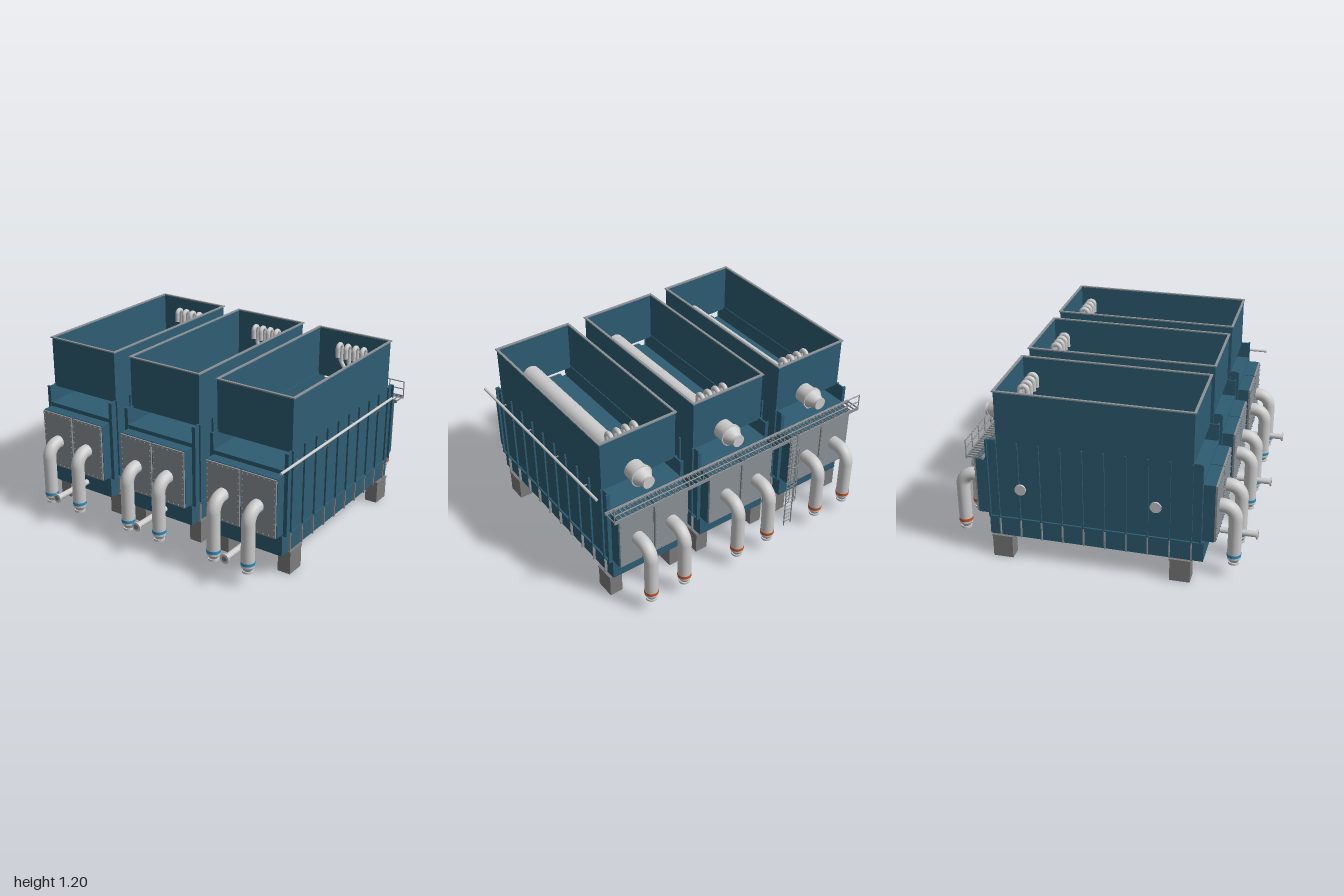
import * as THREE from 'three';
import { mergeGeometries } from 'three/addons/utils/BufferGeometryUtils.js';

const mat = (color) => new THREE.MeshStandardMaterial({ color, side: THREE.DoubleSide });
const BLUE = mat(0x2e5d73), GREY = mat(0xcccccc), PLATE = mat(0x8c9296), FOOT = mat(0x7c7c7c);
const COLD = mat(0x2f8fc0), HOT = mat(0xc8562b);

// Box given by its centre and size
const box = (x, y, z, w, h, d) => new THREE.BoxGeometry(w, h, d).translate(x, y, z);
// Cylinder between two points
function rod(a, b, r1, r2 = r1, sides = 24) {
  const p = new THREE.Vector3(...a), q = new THREE.Vector3(...b), dir = q.clone().sub(p);
  const g = new THREE.CylinderGeometry(r2, r1, dir.length(), sides);
  g.applyQuaternion(new THREE.Quaternion().setFromUnitVectors(new THREE.Vector3(0, 1, 0), dir.normalize()));
  return g.translate(...p.add(q).multiplyScalar(0.5).toArray());
}
// Adds a list of geometries to a group as one named mesh
function add(group, name, material, parts) {
  const mesh = new THREE.Mesh(mergeGeometries(parts.map((g) => (g.index ? g.toNonIndexed() : g))), material);
  mesh.name = name;
  group.add(mesh);
  return mesh;
}

// Water pipe with an elbow: leaves an end cover and turns down
function elbowGeometry(x, zFace, zPipe, s) {
  const r = 0.044, bend = 0.085, y = 0.508;
  const path = new THREE.CurvePath();
  const v = (yy, zz) => new THREE.Vector3(x, yy, zz);
  path.add(new THREE.LineCurve3(v(y, zFace), v(y, zPipe - s * bend)));
  const k = bend * 0.5523;
  path.add(new THREE.CubicBezierCurve3(v(y, zPipe - s * bend), v(y, zPipe - s * (bend - k)),
    v(y - bend + k, zPipe), v(y - bend, zPipe)));
  path.add(new THREE.LineCurve3(v(y - bend, zPipe), v(0.135, zPipe)));
  return [new THREE.TubeGeometry(path, 60, r, 24),
    rod([x, 0.108, zPipe], [x, 0.137, zPipe], 0.028, r),
    rod([x, 0.094, zPipe], [x, 0.108, zPipe], 0.036)];
}

// One end of a unit: two bolted covers with pipes; s = 1 front, -1 back
function buildEnd(unit, s) {
  const zBody = s > 0 ? 0.67 : -0.705, zFace = s > 0 ? 0.745 : -0.785, zPipe = s > 0 ? 0.857 : -0.94;
  const chests = [], plates = [], bolts = [], pipes = [], rings = [];
  for (const x of [-0.131, 0.131]) {
    chests.push(box(x, 0.512, (zBody + zFace) / 2, 0.256, 0.4, Math.abs(zFace - zBody)));
    plates.push(box(x, 0.512, zFace + s * 0.006, 0.25, 0.392, 0.012));
    const bolt = (bx, by) => bolts.push(rod([bx, by, zFace + s * 0.01], [bx, by, zFace + s * 0.018], 0.005, 0.005, 6));
    for (let i = 0; i < 10; i++) for (const e of [-1, 1]) bolt(x + e * 0.116, 0.332 + i * 0.04);
    for (let i = 1; i < 6; i++) for (const e of [-1, 1]) bolt(x - 0.116 + i * 0.0387, 0.512 + e * 0.185);
    const px = Math.sign(x) * 0.128;
    pipes.push(...elbowGeometry(px, zFace, zPipe, s));
    rings.push(rod([px, 0.15, zPipe], [px, 0.17, zPipe], 0.046));
  }
  const tag = s > 0 ? 'front' : 'back';
  add(unit, tag + 'Chests', BLUE, chests);
  add(unit, tag + 'Covers', PLATE, plates);
  add(unit, tag + 'Bolts', PLATE, bolts);
  add(unit, tag + 'ElbowPipes', GREY, pipes);
  add(unit, tag + 'PipeBands', s > 0 ? COLD : HOT, rings);
}

function buildUnit() {
  const unit = new THREE.Group();

  // Base and main body, with an open channel between deck and hood
  add(unit, 'base', BLUE, [box(0, 0.23, -0.015, 0.524, 0.14, 1.395)]);
  add(unit, 'body', BLUE, [box(0, 0.52, -0.018, 0.524, 0.44, 1.375)]);
  const walls = [], posts = [], ribs = [], lowRibs = [];
  for (const s of [-1, 1]) {
    walls.push(box(s * 0.267, 0.577, -0.018, 0.01, 0.555, 1.375));
    for (const z of [0.666, -0.702]) posts.push(box(s * 0.273, 0.577, z, 0.026, 0.555, 0.012));
    posts.push(box(s * 0.273, 0.303, -0.018, 0.022, 0.008, 1.38));
    for (let i = 0; i < 10; i++) {
      const z = 0.607 - i * 0.1385;
      ribs.push(box(s * 0.277, 0.577, z, 0.014, 0.55, 0.01));
      lowRibs.push(box(s * 0.27, 0.23, z, 0.018, 0.13, 0.007));
    }
  }
  for (const z of [0.666, -0.702]) posts.push(box(0, 0.303, z, 0.56, 0.01, 0.014), box(0, 0.735, z, 0.56, 0.012, 0.014));
  add(unit, 'sideWalls', BLUE, walls);
  add(unit, 'endFrames', BLUE, posts);
  add(unit, 'sideRibs', BLUE, ribs);
  add(unit, 'baseRibs', PLATE, lowRibs);

  // Open hood with a rim
  const hood = [], rim = [];
  for (const s of [-1, 1]) {
    hood.push(box(s * 0.27, 1.017, -0.0125, 0.006, 0.355, 1.245), box(0, 1.017, -0.0125 + s * 0.6195, 0.54, 0.355, 0.006));
    rim.push(box(s * 0.273, 1.191, -0.0125, 0.016, 0.008, 1.26), box(0, 1.191, -0.0125 + s * 0.622, 0.56, 0.008, 0.016));
  }
  add(unit, 'hood', BLUE, hood);
  add(unit, 'hoodRim', PLATE, rim);

  // Steam pipe lying in the hood, with its reducer at the back
  const px = 0.042, py = 0.905, at = (z) => [px, py, z];
  const steam = [rod(at(0.608), at(-0.725), 0.065, 0.065, 32), rod(at(-0.715), at(-0.73), 0.074, 0.074, 32),
    rod(at(-0.73), at(-0.795), 0.068, 0.035, 32), rod(at(-0.793), at(-0.805), 0.042)];
  for (const z of [-0.3, 0.04, 0.38, 0.55]) steam.push(rod(at(z - 0.003), at(z + 0.003), 0.067, 0.067, 32));
  add(unit, 'steamPipe', GREY, steam);

  // Four gooseneck vents rising from the steam pipe
  const vents = [];
  for (let i = 0; i < 4; i++) {
    const x = px - 0.09 + i * 0.06;
    vents.push(new THREE.TorusGeometry(0.025, 0.016, 12, 16, Math.PI).rotateY(Math.PI / 2).translate(x, 1.11, -0.52));
    vents.push(rod([x, 1.11, -0.545], [x, 1.01, -0.545], 0.016, 0.016, 16),
      rod([x, 1.01, -0.545], [px + (x - px) * 0.5, 0.94, -0.545], 0.014, 0.014, 16),
      rod([x, 1.11, -0.495], [x, 1.05, -0.495], 0.016, 0.016, 16));
  }
  add(unit, 'vents', GREY, vents);
  add(unit, 'backPlate', GREY, [box(0, 0.815, -0.69, 0.1, 0.026, 0.01)]);

  // Drain pipe at the front
  add(unit, 'drainPipe', GREY, [rod([px, 0.216, 0.67], [px, 0.216, 0.98], 0.02), rod([px, 0.216, 0.975], [px, 0.216, 0.985], 0.032)]);
  add(unit, 'drainBore', FOOT, [new THREE.CircleGeometry(0.017, 24).translate(px, 0.216, 0.986)]);

  // Round side hatches on the right wall
  const hatches = [];
  for (const z of [-0.485, 0.385]) {
    hatches.push(rod([-0.27, 0.53, z], [-0.29, 0.53, z], 0.028), rod([-0.288, 0.53, z], [-0.297, 0.53, z], 0.037));
  }
  add(unit, 'sideHatches', GREY, hatches);

  // Feet
  const feet = [];
  for (const x of [-0.233, 0.233]) for (const z of [0.54, -0.63]) {
    feet.push(box(x, 0.075, z, 0.09, 0.15, 0.132), box(x, 0.155, z, 0.098, 0.01, 0.14));
  }
  add(unit, 'feet', FOOT, feet);

  buildEnd(unit, 1);
  buildEnd(unit, -1);
  return unit;
}

export function createModel() {
  const model = new THREE.Group();
  const first = buildUnit();
  [-0.692, -0.008, 0.677].forEach((x, i) => {
    const unit = i ? first.clone() : first;
    unit.name = 'condenserUnit' + (i + 1);
    unit.position.x = x;
    model.add(unit);
  });

  // Grated walkway along the back, with a guard rail
  const grate = [], rail = [];
  for (const z of [-0.72, -0.825]) grate.push(box(-0.006, 0.732, z, 1.985, 0.022, 0.007));
  for (let i = 0; i <= 66; i++) grate.push(box(-0.996 + i * 0.03, 0.735, -0.7725, 0.004, 0.01, 0.105));
  add(model, 'walkway', PLATE, grate);
  for (const y of [0.79, 0.843]) rail.push(rod([-0.998, y, -0.825], [0.985, y, -0.825], 0.004, 0.004, 8));
  for (let i = 0; i <= 18; i++) {
    const x = -0.996 + i * 0.11;
    rail.push(rod([x, 0.73, -0.825], [x, 0.843, -0.825], 0.0035, 0.0035, 8));
  }
  add(model, 'guardRail', PLATE, rail);

  // Ladder with a safety cage
  const lx = -0.395, lz = -0.857, ladder = [], cage = [];
  for (const s of [-1, 1]) {
    ladder.push(rod([lx + s * 0.03, 0.02, lz], [lx + s * 0.03, 0.78, lz], 0.004, 0.004, 8));
    ladder.push(rod([lx + s * 0.03, 0.735, lz], [lx + s * 0.03, 0.735, -0.825], 0.004, 0.004, 8));
  }
  for (let y = 0.05; y < 0.77; y += 0.033) ladder.push(rod([lx - 0.03, y, lz], [lx + 0.03, y, lz], 0.003, 0.003, 6));
  add(model, 'ladder', PLATE, ladder);
  for (const y of [0.25, 0.4, 0.55, 0.7]) {
    cage.push(new THREE.TorusGeometry(0.039, 0.003, 6, 20, Math.PI).rotateX(-Math.PI / 2).translate(lx, y, lz));
  }
  for (const a of [0.25, 0.5, 0.75]) {
    const x = lx + 0.039 * Math.cos(a * Math.PI), z = lz - 0.039 * Math.sin(a * Math.PI);
    cage.push(rod([x, 0.25, z], [x, 0.7, z], 0.0025, 0.0025, 6));
  }
  add(model, 'ladderCage', PLATE, cage);

  // Long service pipe on brackets along the left wall
  add(model, 'servicePipe', GREY, [rod([0.986, 0.784, 0.795], [0.986, 0.784, -0.635], 0.009, 0.009, 16)]);
  const brackets = [];
  for (let i = 0; i < 4; i++) {
    const z = 0.56 - i * 0.342;
    brackets.push(rod([0.95, 0.71, z], [0.986, 0.78, z], 0.004, 0.004, 8), box(0.963, 0.773, z, 0.046, 0.006, 0.008));
  }
  add(model, 'pipeBrackets', PLATE, brackets);
  return model;
}
